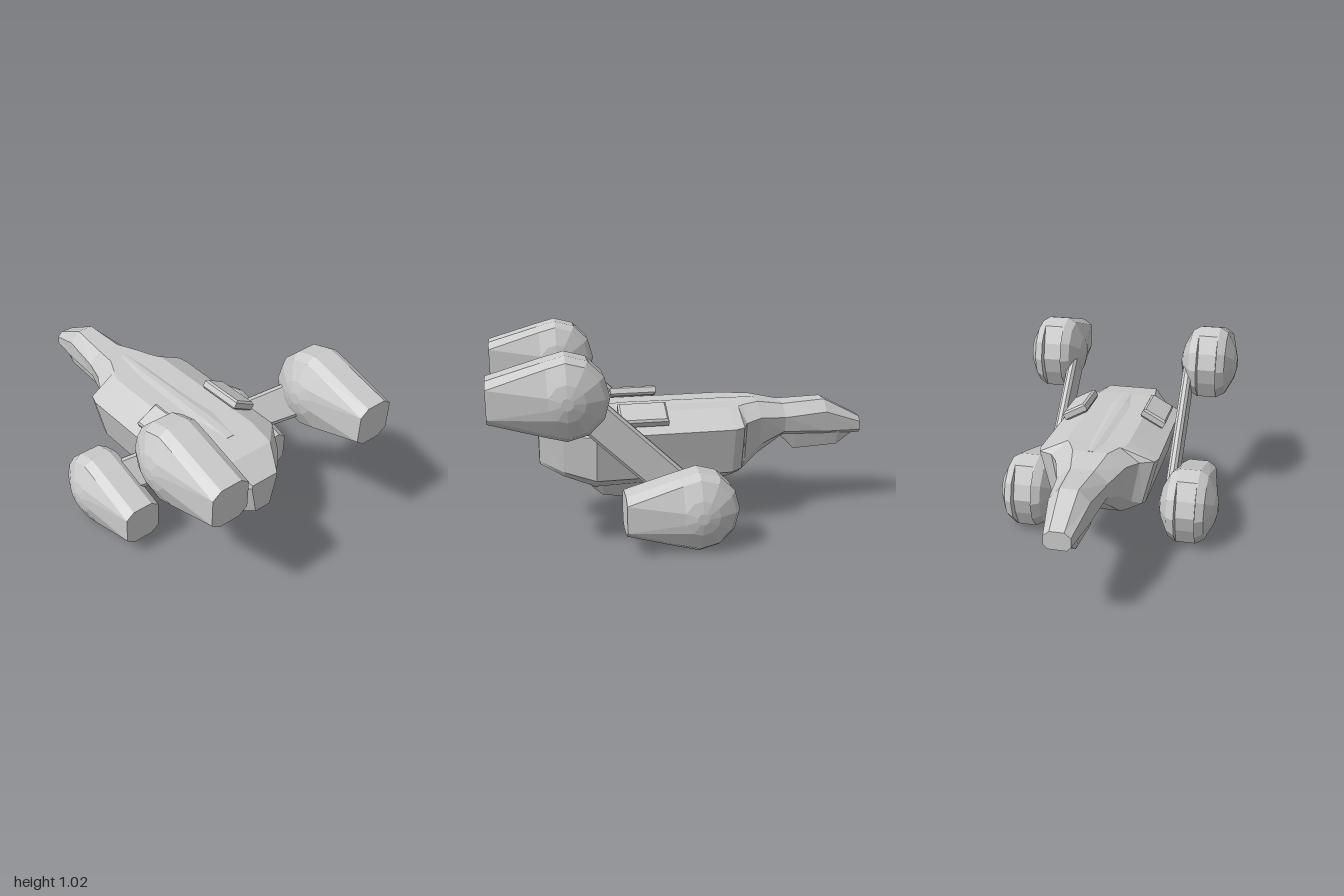
import * as THREE from 'three';

const material = new THREE.MeshStandardMaterial({
  color: 0xcccccc, flatShading: true, side: THREE.DoubleSide,
});

// Skin over a row of rings (each counter-clockwise seen from the far end), capped at both ends
function loft(rings) {
  const pos = [];
  const tri = (...pts) => pts.forEach((p) => pos.push(...p));
  const n = rings[0].length;
  for (let i = 0; i < rings.length - 1; i++) {
    for (let j = 0; j < n; j++) {
      const k = (j + 1) % n;
      const a = rings[i][j], b = rings[i][k], c = rings[i + 1][k], d = rings[i + 1][j];
      tri(a, b, c);
      tri(a, c, d);
    }
  }
  const first = rings[0], last = rings[rings.length - 1];
  for (let j = 1; j < n - 1; j++) {
    tri(first[0], first[j + 1], first[j]);
    tri(last[0], last[j], last[j + 1]);
  }
  const g = new THREE.BufferGeometry();
  g.setAttribute('position', new THREE.Float32BufferAttribute(pos, 3));
  g.computeVertexNormals();
  return g;
}

// Mirrored cross-section at x from [y, halfWidth] pairs, top to bottom
function section(x, ...pairs) {
  const left = pairs.map(([y, w]) => [x, y, w]);
  const right = pairs.map(([y, w]) => [x, y, -w]).reverse();
  return [...left, ...right];
}

// Bevelled plate with outline w by h, thickness t along z, centred
function slab(w, h, t, bevel) {
  const a = w / 2 - bevel, b = h / 2 - bevel;
  const shape = new THREE.Shape([[-a, -b], [a, -b], [a, b], [-a, b]].map((p) => new THREE.Vector2(...p)));
  const g = new THREE.ExtrudeGeometry(shape, {
    depth: t - 2 * bevel, bevelThickness: bevel, bevelSize: bevel, bevelSegments: 1,
  });
  return g.translate(0, 0, bevel - t / 2);
}

// Teardrop engine pod stacked in layers across z, with a recessed intake at the front
function podGeometry() {
  const layer = (z, r, tailX, tailY, intake = r) => {
    const ring = [[tailX, -tailY, z], [tailX, tailY, z]];
    for (let deg = 60; deg <= 300; deg += 30) {
      const a = THREE.MathUtils.degToRad(deg);
      const rr = Math.abs(deg - 180) <= 30 ? intake : r;
      ring.push([rr * Math.cos(a), rr * Math.sin(a), z]);
    }
    return ring;
  };
  const half = [
    [0.05, 0.207, 0.365, 0.103, 0.172],
    [0.055, 0.207, 0.365, 0.103],
    [0.1, 0.18, 0.365, 0.07],
    [0.145, 0.09, 0.085, 0.03],
    [0.16, 0.03, 0.028, 0.01],
  ];
  const back = half.map(([z, ...rest]) => layer(-z, ...rest)).reverse();
  return loft([...back, ...half.map((l) => layer(...l))]);
}

export function createModel() {
  const model = new THREE.Group();
  const add = (name, geometry, parent = model) => {
    const m = new THREE.Mesh(geometry, material);
    m.name = name;
    parent.add(m);
    return m;
  };

  // Hull with drooping neck and nose
  add('hull', loft([
    section(-1, [0.52, 0.035], [0.495, 0.065], [0.45, 0.065], [0.43, 0.045]),
    section(-0.79, [0.63, 0.045], [0.57, 0.1], [0.46, 0.095], [0.435, 0.06]),
    section(-0.55, [0.62, 0.06], [0.56, 0.13], [0.48, 0.12], [0.455, 0.08]),
    section(-0.4, [0.648, 0.09], [0.58, 0.18], [0.42, 0.15], [0.36, 0.1]),
    section(-0.31, [0.645, 0.13], [0.57, 0.23], [0.35, 0.19], [0.29, 0.13]),
    section(-0.28, [0.643, 0.15], [0.57, 0.3], [0.33, 0.24], [0.28, 0.15]),
    section(-0.23, [0.642, 0.16], [0.565, 0.315], [0.315, 0.25], [0.265, 0.16]),
    section(0.48, [0.64, 0.16], [0.56, 0.31], [0.31, 0.25], [0.25, 0.16]),
    section(0.64, [0.625, 0.14], [0.545, 0.2], [0.335, 0.15], [0.3, 0.11]),
    section(0.76, [0.54, 0.08], [0.52, 0.082], [0.37, 0.05], [0.355, 0.045]),
  ]));

  // Low ridge along the back
  add('ridge', loft([
    section(-0.4, [0.65, 0.01], [0.63, 0.06]),
    section(0.3, [0.65, 0.02], [0.63, 0.1]),
    section(0.5, [0.64, 0.02], [0.61, 0.1]),
  ]));

  // Chin block below the nose
  add('chin', loft([
    section(-0.96, [0.46, 0.05], [0.43, 0.04]),
    section(-0.87, [0.46, 0.075], [0.37, 0.05]),
    section(-0.62, [0.48, 0.085], [0.36, 0.055]),
    section(-0.53, [0.49, 0.085], [0.45, 0.06]),
  ]));

  // Belly keel
  add('belly', loft([
    section(-0.2, [0.3, 0.16], [0.26, 0.13]),
    section(0, [0.3, 0.17], [0.152, 0.105]),
    section(0.25, [0.3, 0.17], [0.152, 0.105]),
    section(0.44, [0.3, 0.17], [0.187, 0.12]),
    section(0.5, [0.3, 0.16], [0.25, 0.15]),
  ]));

  const pod = podGeometry();
  const arm = slab(0.8, 0.18, 0.05, 0.015);
  const pad = slab(0.25, 0.14, 0.05, 0.01).rotateX(-Math.PI / 2);

  for (const side of [1, -1]) {
    const group = new THREE.Group();
    group.name = side > 0 ? 'leftEngines' : 'rightEngines';
    model.add(group);

    // Slanted arm joining the two pods of one side
    const a = add('arm', arm, group);
    a.position.set(0.315, 0.51, side * 0.34);
    a.rotation.z = Math.atan2(0.61, 0.635);

    add('lowerPod', pod, group).position.set(-0.002, 0.21, side * 0.447);
    add('upperPod', pod, group).position.set(0.635, 0.82, side * 0.45);

    // Tilted pad on the shoulder of the hull
    const p = add('shoulderPad', pad, group);
    p.position.set(0.235, 0.642, side * 0.218);
    p.rotation.x = side * 0.5;
  }
  return model;
}
